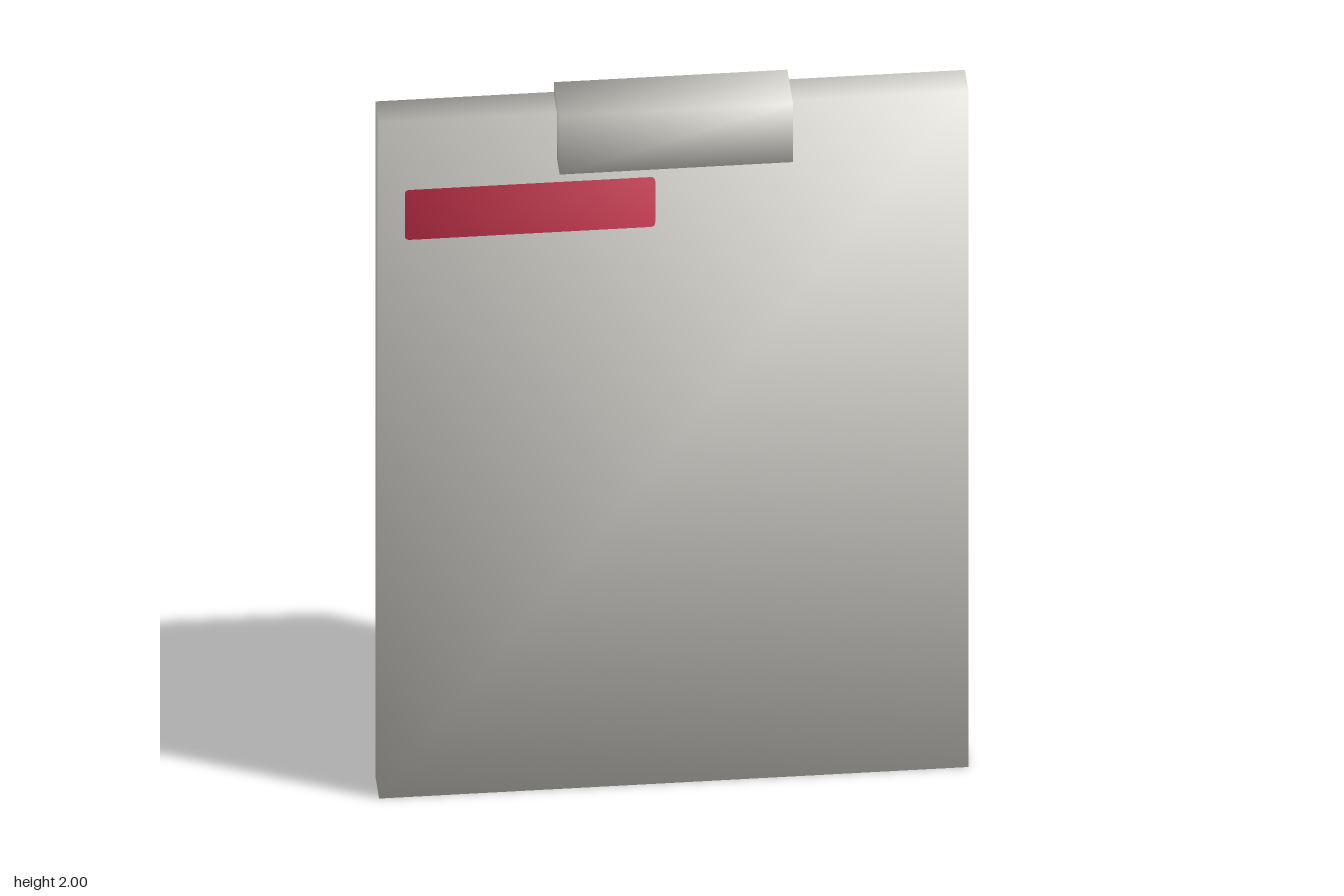
import * as THREE from 'three';

const mat = (name, color) => {
  const m = new THREE.MeshStandardMaterial({ color });
  m.name = name;
  return m;
};

// Soft shading: normals lean outward towards the corners of a block
function soften(geo, block) {
  const p = geo.attributes.position;
  const n = new THREE.Vector3();
  for (let i = 0; i < p.count; i++) {
    n.fromBufferAttribute(p, i).sub(block.center).divide(block.half).normalize();
    geo.attributes.normal.setXYZ(i, n.x, n.y, n.z);
  }
  return geo;
}

// Block described by its limits
function makeBlock(x, y0, y1, z0, z1) {
  return {
    center: new THREE.Vector3(0, (y0 + y1) / 2, (z0 + z1) / 2),
    half: new THREE.Vector3(x, (y1 - y0) / 2, (z1 - z0) / 2),
  };
}

// Flat rectangle with small rounded corners
function roundedRect(x0, x1, y0, y1, r) {
  const s = new THREE.Shape();
  s.moveTo(x0 + r, y0);
  s.lineTo(x1 - r, y0).quadraticCurveTo(x1, y0, x1, y0 + r);
  s.lineTo(x1, y1 - r).quadraticCurveTo(x1, y1, x1 - r, y1);
  s.lineTo(x0 + r, y1).quadraticCurveTo(x0, y1, x0, y1 - r);
  s.lineTo(x0, y0 + r).quadraticCurveTo(x0, y0, x0 + r, y0);
  return s;
}

export function createModel() {
  const group = new THREE.Group();
  group.name = 'clipboard';

  const white = mat('warm white', 0xe2e0da);
  const red = mat('red', 0xc8304a);
  const gold = mat('gold', 0xcba75f);
  const navy = mat('navy', 0x1b1b30);

  const add = (name, geo, material) => {
    const mesh = new THREE.Mesh(geo, material);
    mesh.name = name;
    group.add(mesh);
  };

  const addBlock = (name, b) => {
    const geo = new THREE.BoxGeometry(b.half.x * 2, b.half.y * 2, b.half.z * 2);
    geo.translate(b.center.x, b.center.y, b.center.z);
    add(name, soften(geo, b), white);
  };

  // Painted face just off the front (side 1) or back (side -1) of a block
  const addFace = (name, material, b, side, lift, x0, x1, y0, y1, r = 0) => {
    const geo = r
      ? new THREE.ShapeGeometry(roundedRect(x0, x1, y0, y1, r), 4)
      : new THREE.PlaneGeometry(x1 - x0, y1 - y0).translate((x0 + x1) / 2, (y0 + y1) / 2, 0);
    if (side < 0) geo.rotateY(Math.PI);
    geo.translate(0, 0, b.center.z + side * (b.half.z + lift));
    add(name, soften(geo, b), material);
  };

  // Board and clip
  const board = makeBlock(0.712, 0, 1.965, -0.078, 0.012);
  const clip = makeBlock(0.282, 1.83, 2, -0.068, 0.078);
  addBlock('board', board);
  addBlock('clip', clip);

  // Front label
  addFace('frontLabel', red, board, 1, 0.002, -0.65, -0.045, 1.62, 1.765, 0.012);

  // Back: gold border, navy panel and navy foot strip
  addFace('backBorder', gold, board, -1, 0.001, -0.712, 0.712, 0.038, 1.965);
  addFace('backPanel', navy, board, -1, 0.003, -0.684, 0.684, 0.11, 1.897, 0.02);
  addFace('backFootStrip', navy, board, -1, 0.001, -0.712, 0.712, 0, 0.038);

  // Navy back of the clip, above the board's top edge
  addFace('clipBack', navy, clip, -1, 0.001, -0.282, 0.282, 1.965, 2);

  return group;
}
